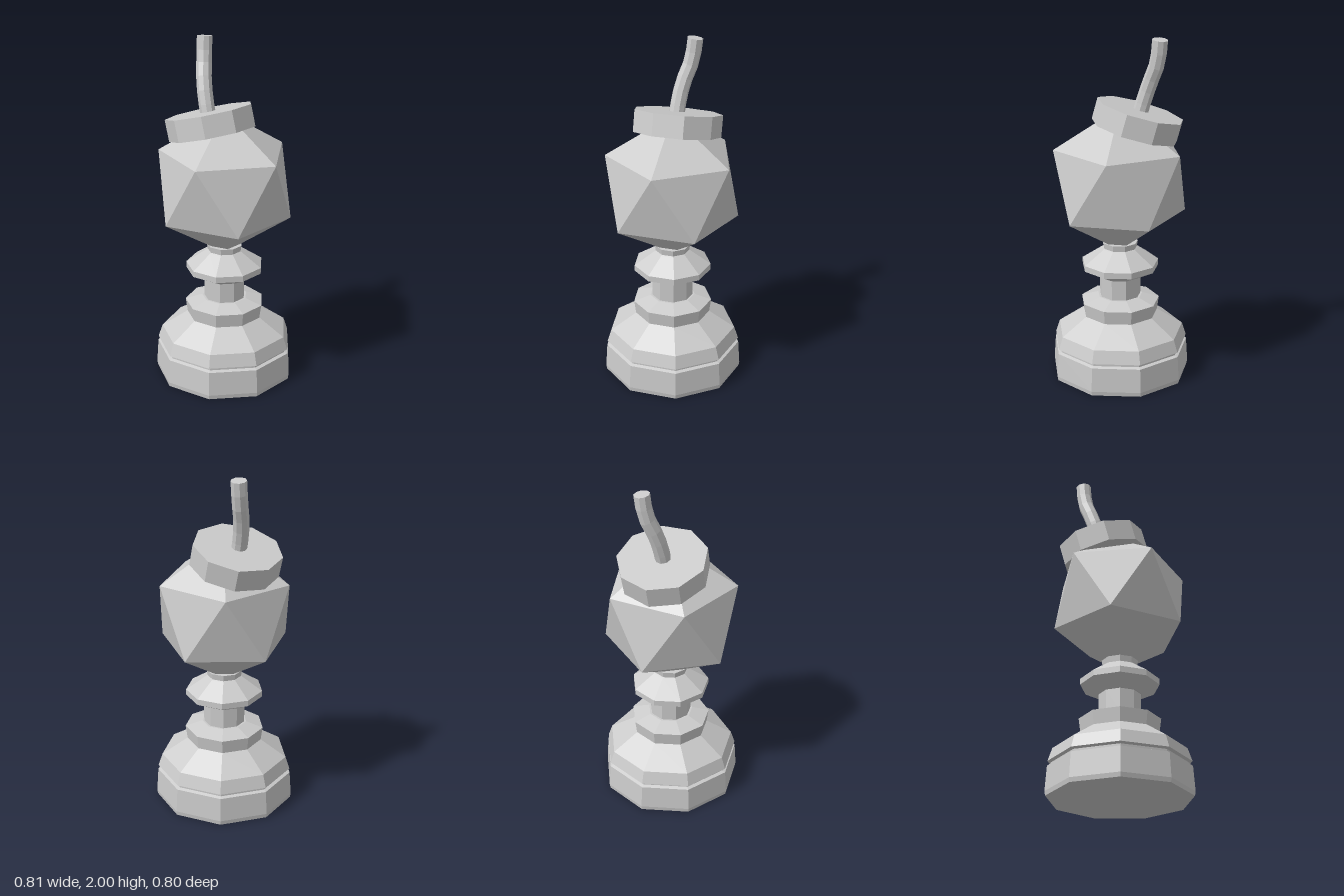
import * as THREE from 'three';

const SIDES = 9;
const AXIS_Z = 0.012; // the nine-sided pedestal is centred by its bounds

export function createModel() {
  const model = new THREE.Group();
  const material = new THREE.MeshStandardMaterial({ color: 0xcccccc, flatShading: true });

  const add = (name, geometry, x, y, z) => {
    const mesh = new THREE.Mesh(geometry, material);
    mesh.name = name;
    mesh.position.set(x, y, z);
    model.add(mesh);
    return mesh;
  };

  // Turned part from [radius, height] pairs, with a corner at the back
  const turned = (name, profile) => add(name, new THREE.LatheGeometry(
    profile.map(([r, y]) => new THREE.Vector2(r, y)), SIDES, Math.PI), 0, 0, AXIS_Z);

  // Pedestal: foot, groove and sloping shoulder
  turned('base', [
    [0, 0], [0.408, 0], [0.412, 0.025], [0.402, 0.168], [0.382, 0.175],
    [0.382, 0.187], [0.4, 0.195], [0.375, 0.27], [0.222, 0.37],
    [0.233, 0.45], [0.133, 0.48], [0, 0.48],
  ]);

  // Column with its collar ring
  turned('column', [[0.121, 0.47], [0.121, 0.61], [0, 0.61]]);
  turned('collar', [
    [0, 0.603], [0.128, 0.603], [0.227, 0.655], [0.227, 0.69],
    [0.108, 0.77], [0.1, 0.775], [0.105, 0.81], [0, 0.81],
  ]);

  // Faceted head: an icosahedron standing on one corner, its upper ring pointing forwards
  const head = new THREE.IcosahedronGeometry(0.426, 0);
  head.rotateZ(Math.atan2(2, 1 + Math.sqrt(5)));
  head.rotateY(Math.PI / 2);
  add('head', head, 0, 1.18, AXIS_Z);

  // Cap tilted towards the back
  const capGeometry = new THREE.CylinderGeometry(0.256, 0.256, 0.127, SIDES);
  capGeometry.rotateY(Math.PI + 0.08);
  const cap = add('cap', capGeometry, -0.004, 1.526, -0.09);
  cap.rotation.x = -0.27;

  // Bent fuse, closed at both ends
  const section = new THREE.Shape(Array.from({ length: SIDES }, (_, i) => {
    const a = (i / SIDES) * Math.PI * 2;
    return new THREE.Vector2(Math.cos(a), Math.sin(a)).multiplyScalar(0.045);
  }));
  const path = new THREE.CatmullRomCurve3([
    [-0.012, 1.55, -0.1], [-0.006, 1.65, -0.128], [0.012, 1.75, -0.158],
    [0.05, 1.87, -0.193], [0.066, 1.995, -0.203],
  ].map((p) => new THREE.Vector3(...p)));
  add('fuse', new THREE.ExtrudeGeometry(section, {
    steps: 6, bevelEnabled: false, extrudePath: path,
  }), 0, 0, 0);

  return model;
}
